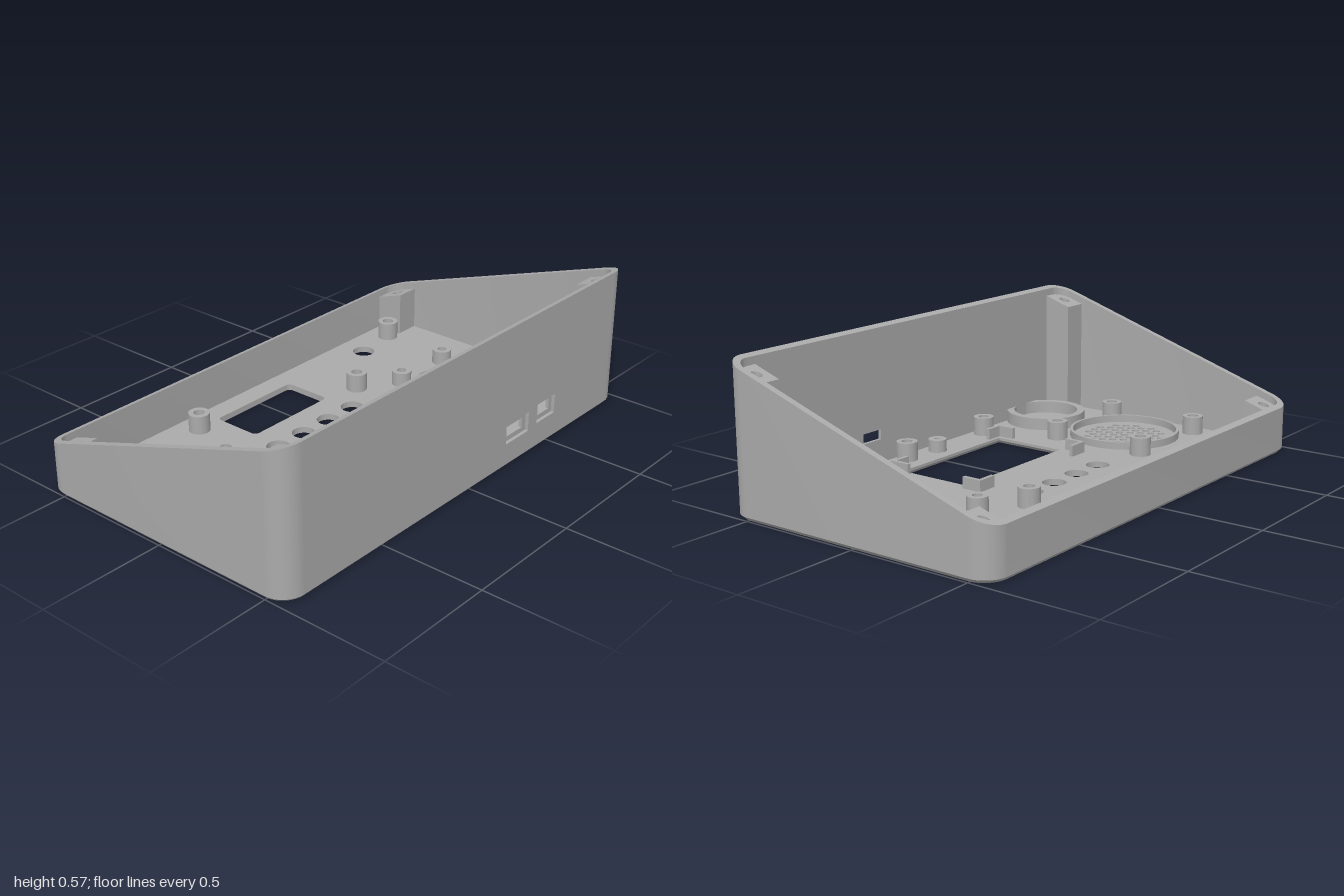
import * as THREE from 'three';
import { toCreasedNormals } from 'three/addons/utils/BufferGeometryUtils.js';

const FLOOR = 0.025, CHAMFER = 0.014, WALL = 0.027, HX = 1, HZ = 0.59, R = 0.09;
// height of the sloping rim at depth z
const rim = z => 0.19 + 0.385 * (z + HZ) / (2 * HZ);

const circle = (x, z, r) => new THREE.Path().absarc(x, z, r, 0, Math.PI * 2, false);

function roundRect(x0, z0, x1, z1, r, Type = THREE.Shape) {
  const s = new Type(), q = Math.PI / 2;
  s.absarc(x1 - r, z1 - r, r, 0, q, false);
  s.absarc(x0 + r, z1 - r, r, q, 2 * q, false);
  s.absarc(x0 + r, z0 + r, r, 2 * q, 3 * q, false);
  s.absarc(x1 - r, z0 + r, r, 3 * q, 4 * q, false);
  s.closePath();
  return s;
}

const polygon = (pts, Type = THREE.Shape) => new Type(pts.map(p => new THREE.Vector2(...p)));
const rect = (x0, y0, x1, y1, Type = THREE.Path) =>
  polygon([[x0, y0], [x1, y0], [x1, y1], [x0, y1]], Type);

// move every vertex of a geometry by a rule
function moveVertices(geo, rule) {
  const p = geo.attributes.position, v = new THREE.Vector3();
  for (let i = 0; i < p.count; i++) {
    rule(v.fromBufferAttribute(p, i));
    p.setXYZ(i, v.x, v.y, v.z);
  }
  return geo;
}

// plan outline (x, z) raised between two heights, each a function of z
function slab(shape, low, high, segments = 24) {
  const geo = new THREE.ExtrudeGeometry(shape, { depth: 1, bevelEnabled: false, curveSegments: segments });
  geo.rotateX(Math.PI / 2).translate(0, 1, 0);
  return moveVertices(geo, v => { v.y = v.y > 0.5 ? high(v.z) : low(v.z); });
}
const at = y => () => y;

export function createModel() {
  const model = new THREE.Group();
  model.name = 'slopedEnclosure';
  const grey = new THREE.MeshStandardMaterial({ color: 0xaaaaaa });
  grey.name = 'grey plastic';
  const add = (name, geo) => {
    const mesh = new THREE.Mesh(toCreasedNormals(geo, 0.6), grey);
    mesh.name = name;
    model.add(mesh);
  };

  // openings through the floor: buttons, dial, screws and light
  const round = [
    [-0.25, -0.14, 0.046], [-0.105, -0.14, 0.046], [0.04, -0.14, 0.046], [0.185, -0.14, 0.046],
    [0.62, -0.445, 0.046], [0.62, -0.045, 0.077], [0.41, 0.375, 0.02], [-0.685, 0.43, 0.057],
    [0.483, -0.125, 0.019], [0.757, -0.125, 0.019], [0.62, 0.11, 0.019], [-0.033, 0.497, 0.012],
  ];
  // hexagonal speaker grille
  const speaker = [-0.685, 0.02];
  for (let row = -4; row <= 4; row++) {
    for (let k = -5; k <= 5; k++) {
      const x = (k + (row % 2 ? 0.5 : 0)) * 0.0435, z = row * 0.038;
      if (Math.hypot(x, z) < 0.165) round.push([speaker[0] + x, speaker[1] + z, 0.0155]);
    }
  }
  const cutFloor = shape => {
    shape.holes.push(...round.map(c => circle(...c)));
    shape.holes.push(roundRect(-0.24, -0.475, 0.175, -0.27, 0.02, THREE.Path));
    shape.holes.push(rect(-0.335, 0.105, 0.27, 0.415));
    return shape;
  };

  // lower floor: chamfered outer edge and flared screen window
  const lower = slab(cutFloor(roundRect(-HX, -HZ, HX, HZ, R)), at(0), at(CHAMFER));
  moveVertices(lower, v => {
    if (v.y > 0.001) return;
    if (Math.abs(v.x) > 0.9 || Math.abs(v.z) > 0.55) {
      v.x *= 1 - 0.012 / HX;
      v.z *= 1 - 0.012 / HZ;
    } else if (v.x > -0.34 && v.x < 0.275 && v.z > 0.1 && v.z < 0.42) {
      v.x += v.x > 0 ? 0.014 : -0.014;
      v.z += v.z > 0.25 ? 0.014 : -0.014;
    }
  });
  add('floorLower', lower);
  add('floorUpper', slab(
    cutFloor(roundRect(-HX + WALL, -HZ + WALL, HX - WALL, HZ - WALL, R - WALL)), at(CHAMFER), at(FLOOR)));

  // side and back walls, open at the front
  const cx = HX - R, cz = HZ - R, q = Math.PI / 2, r = R - WALL;
  const u = new THREE.Shape();
  u.absarc(cx, cz, R, q, 0, true);
  u.absarc(cx, -cz, R, 0, -q, true);
  u.absarc(-cx, -cz, R, -q, -2 * q, true);
  u.absarc(-cx, cz, R, 2 * q, q, true);
  u.absarc(-cx, cz, r, q, 2 * q, false);
  u.absarc(-cx, -cz, r, 2 * q, 3 * q, false);
  u.absarc(cx, -cz, r, 3 * q, 4 * q, false);
  u.absarc(cx, cz, r, 0, q, false);
  u.closePath();
  add('sideAndBackWalls', slab(u, at(CHAMFER), rim, 12));

  // front wall in two layers, so that the sockets are stepped
  const frontLayer = (name, z0, z1, openings) => {
    const s = rect(-cx, CHAMFER, cx, 0.575, THREE.Shape);
    s.holes.push(...openings.map(o => rect(...o)));
    const geo = new THREE.ExtrudeGeometry(s, { depth: z1 - z0, bevelEnabled: false }).translate(0, 0, z0);
    add(name, moveVertices(geo, v => { if (v.y > 0.5) v.y = rim(v.z); }));
  };
  const step = HZ - 0.014;
  frontLayer('frontWallOuter', step, HZ, [[0.21, 0.1, 0.355, 0.18], [0.41, 0.11, 0.53, 0.19]]);
  frontLayer('frontWallInner', HZ - WALL, step, [[0.23, 0.12, 0.33, 0.16], [0.435, 0.13, 0.51, 0.175]]);

  // corner posts with blind screw holes
  for (const sx of [-1, 1]) {
    for (const sz of [-1, 1]) {
      const outline = () => polygon(
        [[0.87, 0.445], [0.98, 0.445], [0.98, 0.53], [0.94, 0.57], [0.87, 0.57]].map(([x, z]) => [x * sx, z * sz]));
      const topPart = outline();
      topPart.holes.push(circle(0.923 * sx, 0.503 * sz, 0.022));
      add('cornerPost', slab(outline(), at(FLOOR), z => rim(z) - 0.11));
      add('cornerPostTop', slab(topPart, z => rim(z) - 0.11, z => rim(z) - 0.03));
    }
  }

  // rings and screw bosses standing on the floor
  const ring = (name, x, z, outer, inner, height) => {
    const s = new THREE.Shape().absarc(x, z, outer, 0, Math.PI * 2, false);
    s.holes.push(circle(x, z, inner));
    add(name, slab(s, at(FLOOR), at(FLOOR + height), outer > 0.1 ? 64 : 24));
  };
  const bosses = [[-0.35, -0.465], [0.81, -0.465], [0.325, -0.235], [0.81, 0.14], [-0.89, -0.19],
    [-0.48, -0.19], [-0.89, 0.22], [-0.48, 0.22], [-0.35, 0.51], [0.137, 0.51]];
  for (const [x, z] of bosses) ring('screwBoss', x, z, 0.042, 0.022, 0.075);
  for (const [x, z] of [[0.483, -0.125], [0.757, -0.125], [0.62, 0.11]]) ring('dialBoss', x, z, 0.04, 0.019, 0.06);
  ring('lightBoss', -0.033, 0.497, 0.037, 0.012, 0.05);
  ring('speakerRing', ...speaker, 0.228, 0.216, 0.03);

  // knob ring, cut off where it meets the front wall
  const knob = new THREE.Shape().absarc(-0.685, 0.43, 0.168, Math.PI - 1.04, Math.PI * 2 + 1.04, false);
  knob.closePath();
  knob.holes.push(circle(-0.685, 0.43, 0.137));
  add('knobRing', slab(knob, at(FLOOR), at(FLOOR + 0.05), 64));

  // L-shaped brackets round the screen window
  const arm = 0.085, t = 0.016;
  for (const [x, sx] of [[-0.37, 1], [0.305, -1]]) {
    for (const [z, sz] of [[0.005, 1], [0.445, -1]]) {
      const pts = [[0, 0], [arm, 0], [arm, t], [t, t], [t, arm], [0, arm]];
      add('screenBracket', slab(polygon(pts.map(([a, b]) => [x + a * sx, z + b * sz])), at(FLOOR), at(FLOOR + 0.045)));
    }
  }
  return model;
}
